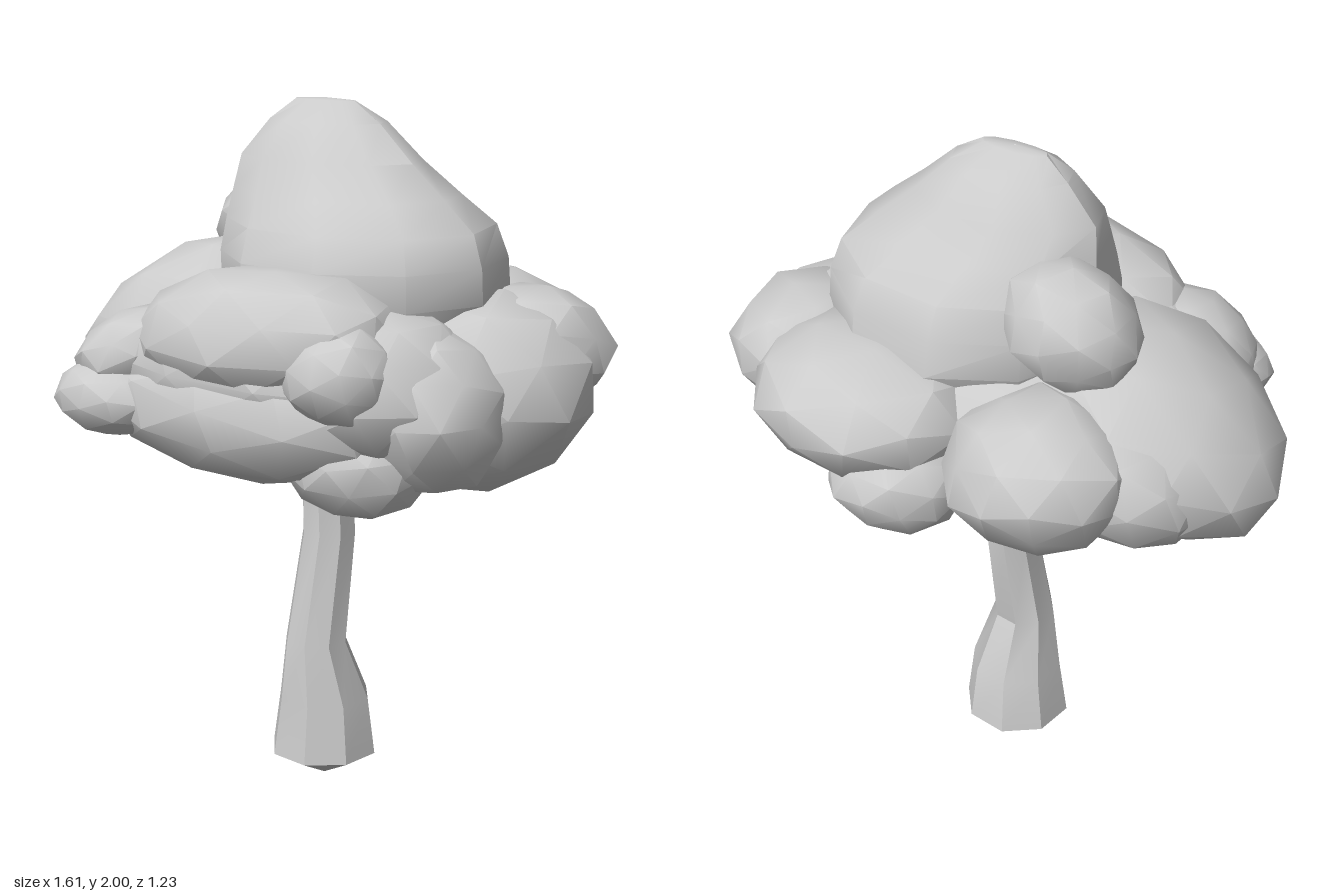
import * as THREE from 'three';
import { mergeVertices, toCreasedNormals } from 'three/addons/utils/BufferGeometryUtils.js';

const material = new THREE.MeshStandardMaterial({ color: 0xcccccc });

// Foliage clumps: name, centre x y z, radii x y z, lean (rise in y per unit x)
const CLUMPS = [
  ['crownShoulder', -0.26, 1.62, -0.16, 0.19, 0.17, 0.17, 0.2],
  ['canopyCore', 0.02, 1.28, 0, 0.57, 0.27, 0.43, 0],
  ['rightClump', -0.46, 1.32, -0.02, 0.35, 0.24, 0.33, 0.38],
  ['backRightClump', -0.28, 1.29, -0.36, 0.26, 0.21, 0.24, 0],
  ['backRightFill', -0.44, 1.27, -0.2, 0.25, 0.2, 0.22, 0.2],
  ['backLeftClump', 0.27, 1.33, -0.33, 0.34, 0.2, 0.3, 0],
  ['backLowClump', 0.12, 1.17, -0.43, 0.2, 0.15, 0.18, 0],
  ['leftTopClump', 0.55, 1.33, -0.18, 0.24, 0.18, 0.25, 0],
  ['leftLowClump', 0.44, 1.22, -0.07, 0.36, 0.28, 0.33, 0.1],
  ['frontLeftClump', 0.49, 1.22, 0.2, 0.2, 0.22, 0.23, 0],
  ['frontLeftFill', 0.34, 1.28, 0.24, 0.28, 0.22, 0.27, 0],
  ['frontLowClump', 0, 1.2, 0.36, 0.46, 0.2, 0.23, 0],
  ['frontFill', 0, 1.3, 0.34, 0.45, 0.2, 0.23, 0],
  ['frontTopClump', 0.05, 1.4, 0.35, 0.4, 0.19, 0.25, 0.08],
  ['frontLeftBud', 0.34, 1.34, 0.42, 0.16, 0.14, 0.15, 0],
  ['frontRightBud', -0.38, 1.2, 0.46, 0.18, 0.11, 0.14, 0],
  ['frontRightTop', -0.36, 1.31, 0.38, 0.18, 0.13, 0.17, 0.3],
  ['lowFrontClump', 0.32, 1.08, 0.3, 0.21, 0.15, 0.18, 0],
];

// Lumpy low-poly ball: each vertex is pushed in or out by a fixed wave
function makeClump([name, x, y, z, rx, ry, rz, lean], index) {
  let geometry = new THREE.IcosahedronGeometry(1, 1);
  geometry.deleteAttribute('normal');
  geometry.deleteAttribute('uv');
  geometry = mergeVertices(geometry, 1e-3);
  geometry.rotateY(index * 1.3);
  geometry.rotateX(index * 0.7);
  const pos = geometry.attributes.position;
  const v = new THREE.Vector3();
  for (let i = 0; i < pos.count; i++) {
    v.fromBufferAttribute(pos, i);
    const wave = Math.sin(v.x * 4 + index * 2) * Math.sin(v.y * 5 + index) * Math.cos(v.z * 4 - index);
    v.multiplyScalar(1.02 + 0.05 * wave);
    pos.setXYZ(i, x + v.x * rx, y + v.y * ry + lean * v.x * rx, z + v.z * rz);
  }
  const mesh = new THREE.Mesh(toCreasedNormals(geometry, 0.65), material);
  mesh.name = name;
  return mesh;
}

// Skin over stacked elliptical rings: y, centre x, centre z, radius x, radius z
function makeLoft(name, rings, sides, crease) {
  const positions = [];
  const corner = ([y, cx, cz, rx, rz], i) => {
    const a = ((i + 0.3) / sides) * Math.PI * 2;
    return [cx + Math.sin(a) * rx, y, cz + Math.cos(a) * rz];
  };
  for (let k = 0; k < rings.length - 1; k++) {
    for (let i = 0; i < sides; i++) {
      const a = corner(rings[k], i), b = corner(rings[k], i + 1);
      const c = corner(rings[k + 1], i + 1), d = corner(rings[k + 1], i);
      positions.push(...a, ...b, ...c, ...a, ...c, ...d);
    }
  }
  const geometry = new THREE.BufferGeometry();
  geometry.setAttribute('position', new THREE.Float32BufferAttribute(positions, 3));
  const mesh = new THREE.Mesh(toCreasedNormals(geometry, crease), material);
  mesh.name = name;
  return mesh;
}

// Bent trunk with a pointed root
const TRUNK = [
  [0, 0, -0.01, 0.001, 0.001],
  [0.08, -0.005, -0.015, 0.16, 0.16],
  [0.25, -0.002, -0.012, 0.137, 0.137],
  [0.43, -0.008, 0.022, 0.092, 0.092],
  [0.75, 0, -0.035, 0.08, 0.08],
  [1.0, 0, -0.022, 0.077, 0.077],
  [1.2, 0, -0.02, 0.075, 0.075],
];

// Bell-shaped crown rising to a short ridge
const CROWN = [
  [1.36, 0.13, -0.01, 0.36, 0.32],
  [1.48, 0.13, -0.02, 0.41, 0.38],
  [1.58, 0.13, -0.01, 0.41, 0.37],
  [1.67, 0.12, -0.01, 0.39, 0.33],
  [1.75, 0.08, 0, 0.34, 0.25],
  [1.84, 0.03, 0, 0.28, 0.175],
  [1.94, 0.02, 0, 0.18, 0.115],
  [1.995, 0.01, 0, 0.1, 0.03],
  [2.0, 0.01, 0, 0.001, 0.001],
];

export function createModel() {
  const tree = new THREE.Group();
  tree.name = 'tree';
  const canopy = new THREE.Group();
  canopy.name = 'canopy';
  canopy.add(makeLoft('crown', CROWN, 10, 0.65));
  CLUMPS.forEach((clump, i) => canopy.add(makeClump(clump, i)));
  tree.add(makeLoft('trunk', TRUNK, 8, 0.5), canopy);
  return tree;
}
